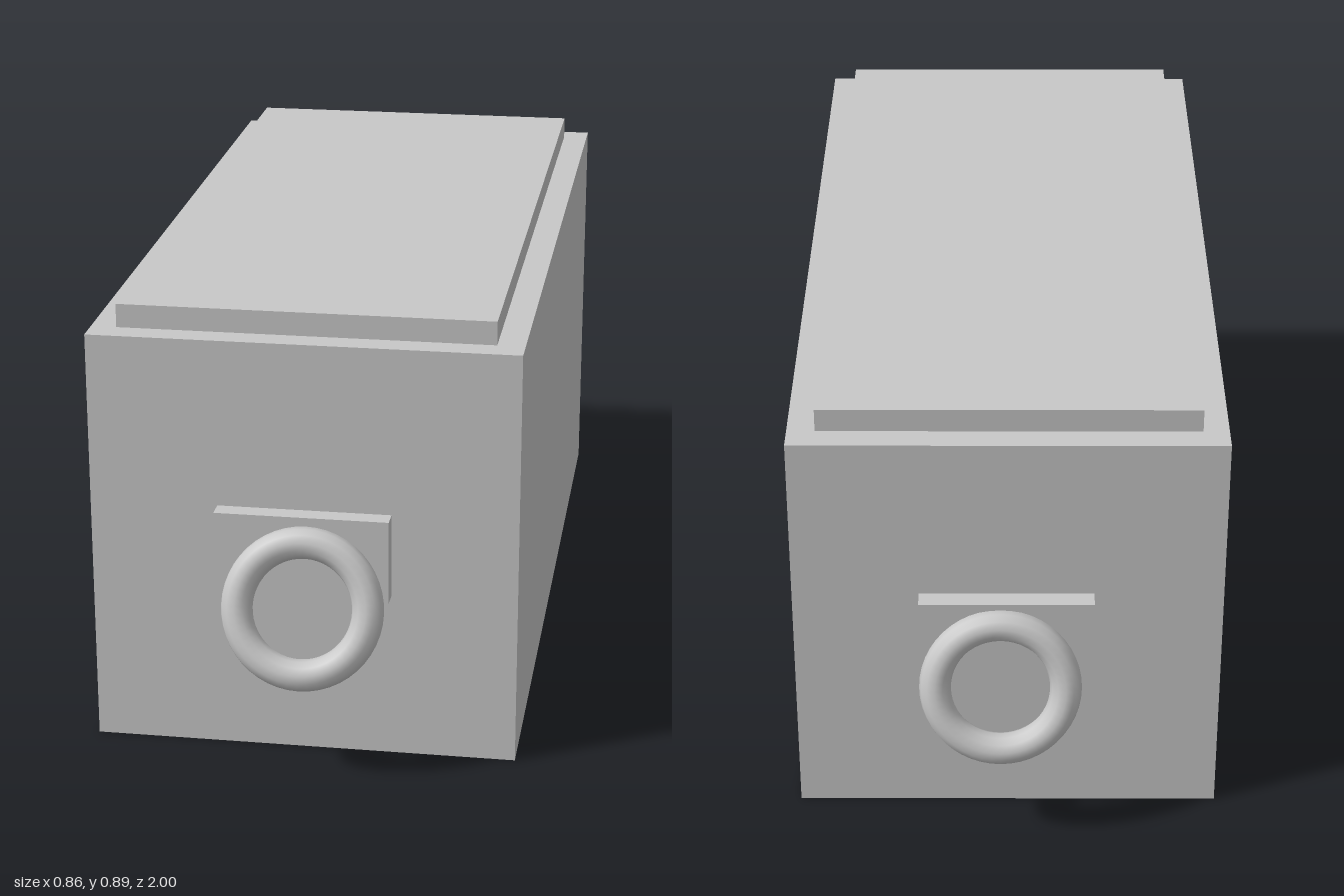
import * as THREE from 'three';

export function createModel() {
  const model = new THREE.Group();
  model.name = 'chest';
  const grey = new THREE.MeshStandardMaterial({ color: 0xc8c8c8 });
  grey.name = 'light grey';
  const plateGrey = grey.clone();
  plateGrey.name = 'light grey plate';
  plateGrey.side = THREE.DoubleSide;

  // Box given by its lower and upper limits on each axis
  function addBox(name, [x0, x1], [y0, y1], [z0, z1]) {
    const mesh = new THREE.Mesh(new THREE.BoxGeometry(x1 - x0, y1 - y0, z1 - z0), grey);
    mesh.position.set((x0 + x1) / 2, (y0 + y1) / 2, (z0 + z1) / 2);
    mesh.name = name;
    model.add(mesh);
  }

  addBox('body', [-0.43, 0.41], [0, 0.845], [-0.853, 0.832]);
  addBox('lid', [-0.38, 0.356], [0.845, 0.892], [-0.801, 0.78]);

  // Handle mounts on both ends
  addBox('frontMount', [-0.178, 0.163], [0.338, 0.508], [0.832, 0.87]);
  addBox('backMount', [-0.178, 0.163], [0.338, 0.508], [-0.892, -0.853]);

  // Ring handles, hanging with their lower edge outwards
  function addRing(name, z, tilt) {
    const ring = new THREE.Mesh(new THREE.TorusGeometry(0.1275, 0.031, 12, 48), grey);
    ring.position.set(0.004, 0.343, z);
    ring.rotation.x = THREE.MathUtils.degToRad(tilt);
    ring.name = name;
    model.add(ring);
  }
  addRing('frontRing', 0.927, -19);
  addRing('backRing', -0.934, 16);

  // Thin square plate standing just off the left side
  const plate = new THREE.Mesh(new THREE.PlaneGeometry(0.37, 0.363), plateGrey);
  plate.rotation.y = Math.PI / 2;
  plate.position.set(0.429, 0.423, 0.006);
  plate.name = 'sidePlate';
  model.add(plate);

  return model;
}
